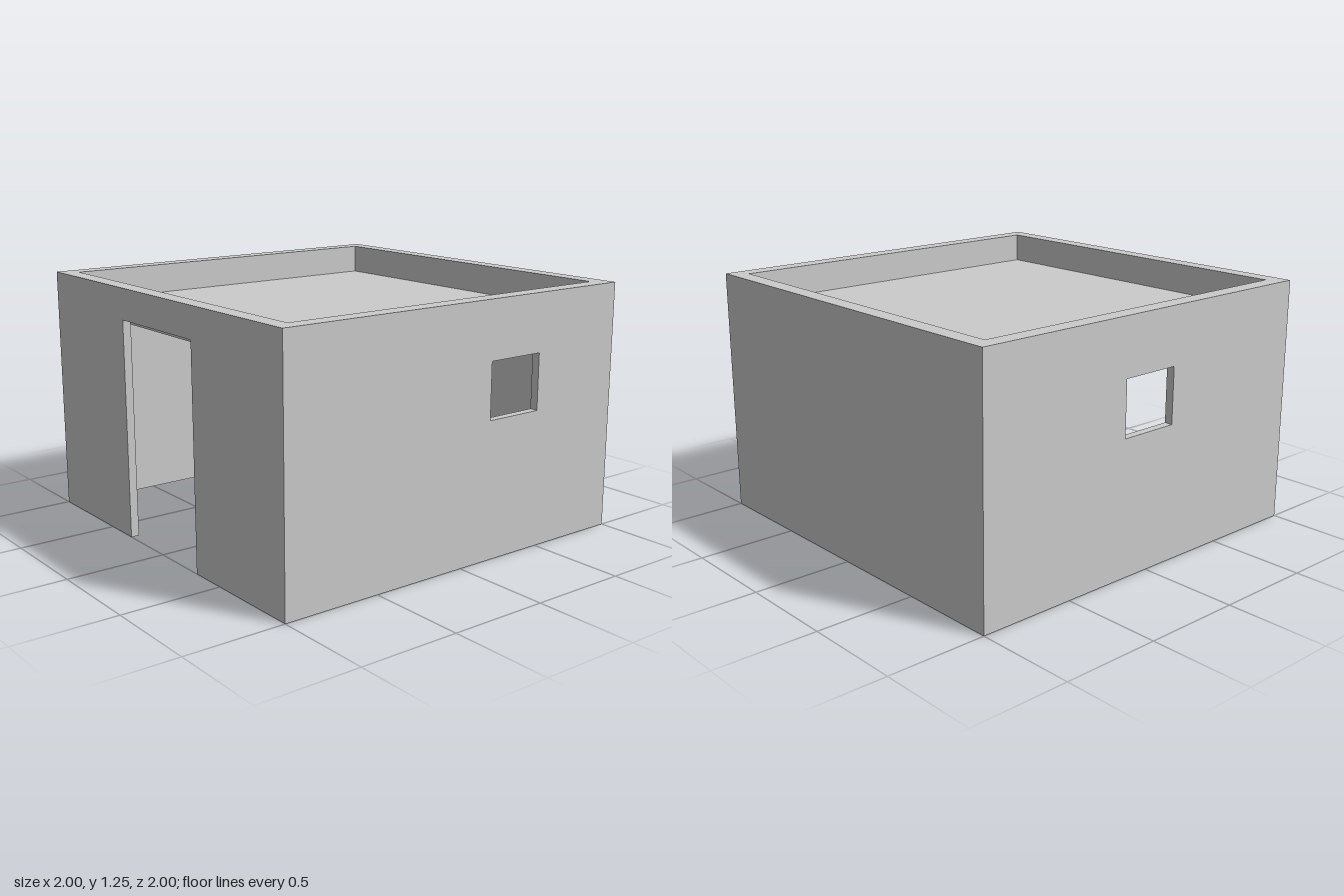
import * as THREE from 'three';

const H = 1.25;       // full height
const T = 0.042;      // wall thickness
const LIP = 0.085;    // parapet thickness
const ROOF = 1.1;     // roof surface height
const CEILING = 1.07;

const material = new THREE.MeshStandardMaterial({ color: 0xcccccc, flatShading: true });

function addMesh(group, name, geometry) {
  const mesh = new THREE.Mesh(geometry, material);
  mesh.name = name;
  group.add(mesh);
  return mesh;
}

const polygon = (points) => points.map(([x, y]) => new THREE.Vector2(x, y));
const rectangle = (x0, y0, x1, y1) => polygon([[x0, y0], [x1, y0], [x1, y1], [x0, y1]]);

function extrude(outline, hole, depth) {
  const shape = new THREE.Shape(outline);
  if (hole) shape.holes.push(new THREE.Path(hole));
  return new THREE.ExtrudeGeometry(shape, { depth, bevelEnabled: false });
}

export function createModel() {
  const house = new THREE.Group();
  house.name = 'house';

  // Front wall with the doorway cut up from the ground
  const door = 0.307, doorTop = 1.095;
  const frontOutline = polygon([
    [-1, 0], [-door, 0], [-door, doorTop], [door, doorTop],
    [door, 0], [1, 0], [1, H], [-1, H],
  ]);
  addMesh(house, 'frontWall', extrude(frontOutline, null, T)).position.z = 1 - T;

  // Plain back wall
  addMesh(house, 'backWall', extrude(rectangle(-1, 0, 1, H), null, T)).position.z = -1;

  // Side walls, each with one window at its own place along z
  const sides = [
    { name: 'leftWall', x: 1, z0: -0.478, z1: -0.168 },
    { name: 'rightWall', x: -1 + T, z0: -0.163, z1: 0.15 },
  ];
  for (const { name, x, z0, z1 } of sides) {
    const outline = rectangle(-1 + T, 0, 1 - T, H);
    const wall = addMesh(house, name, extrude(outline, rectangle(z0, 0.684, z1, 0.963), T));
    wall.rotation.y = -Math.PI / 2;
    wall.position.x = x;
  }

  // Roof slab, sunk below the parapet
  const inner = 1 - T;
  const slab = new THREE.BoxGeometry(2 * inner, ROOF - CEILING, 2 * inner);
  addMesh(house, 'roofSlab', slab).position.y = (ROOF + CEILING) / 2;

  // Parapet thickening around the inside of the walls above the roof
  const p = 1 - LIP;
  const ring = extrude(rectangle(-inner, -inner, inner, inner), rectangle(-p, -p, p, p), H - ROOF);
  const parapet = addMesh(house, 'parapet', ring);
  parapet.rotation.x = -Math.PI / 2;
  parapet.position.y = ROOF;

  return house;
}
